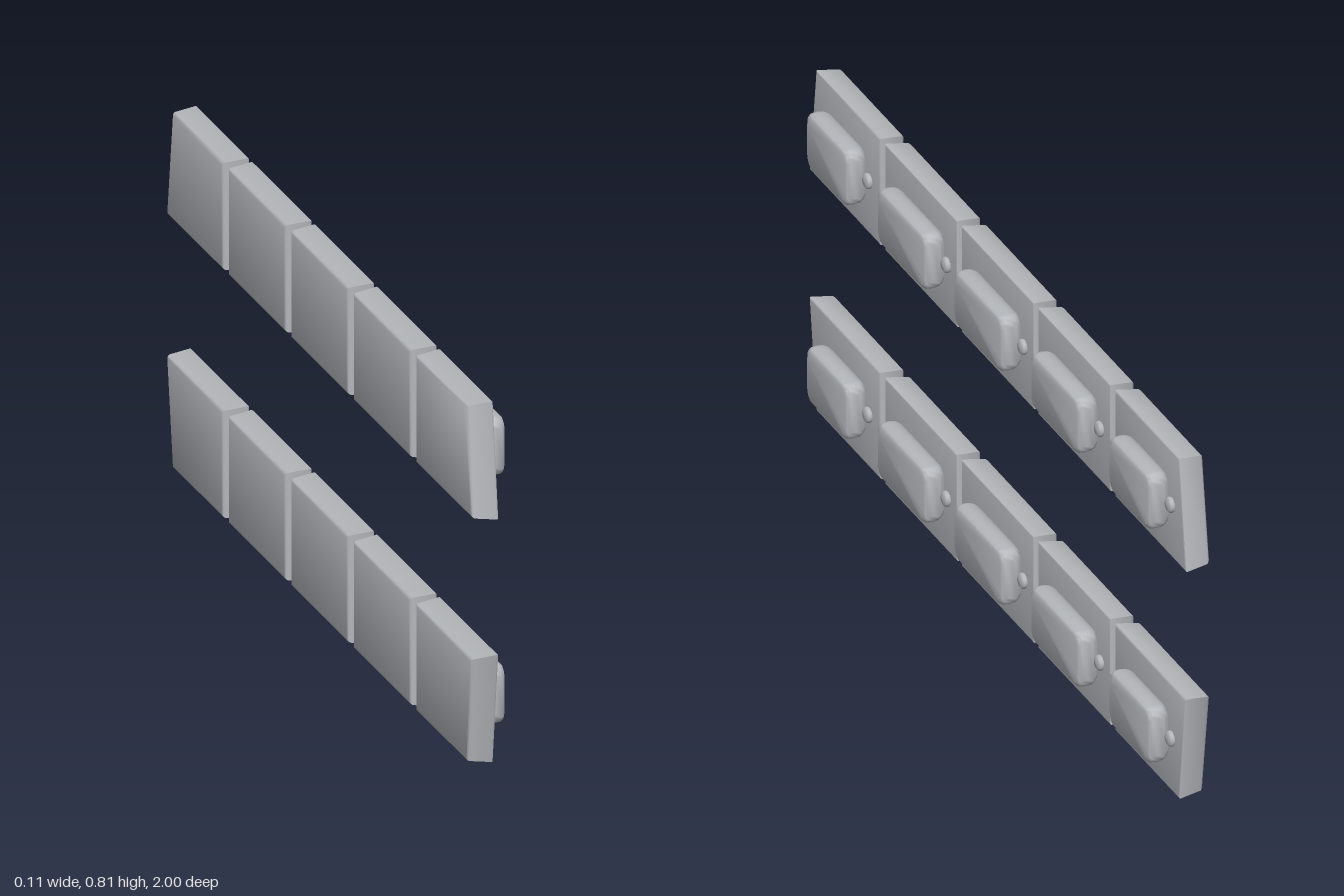
import * as THREE from 'three';
import { toCreasedNormals } from 'three/addons/utils/BufferGeometryUtils.js';

// Lofts a [z, y] outline (centred on 0) along x; each level is [x, inset].
function slab(outline, levels) {
  const n = outline.length, pos = [], idx = [];
  for (const [x, inset] of levels)
    for (const [z, y] of outline)
      pos.push(x, y - Math.sign(y) * inset, z - Math.sign(z) * inset);
  for (let r = 0; r < levels.length - 1; r++)
    for (let i = 0; i < n; i++) {
      const a = r * n + i, b = r * n + (i + 1) % n;
      idx.push(a, a + n, b, b, a + n, b + n);
    }
  // end caps
  const last = (levels.length - 1) * n;
  for (let i = 1; i < n - 1; i++) {
    idx.push(0, i, i + 1);
    idx.push(last, last + i + 1, last + i);
  }
  const g = new THREE.BufferGeometry();
  g.setAttribute('position', new THREE.Float32BufferAttribute(pos, 3));
  g.setIndex(idx);
  return toCreasedNormals(g, 0.95);
}

// Rounded rectangle outline, counter-clockwise in (z, y)
function roundedRect(w, h, r, steps = 5) {
  const pts = [];
  [[1, 1], [-1, 1], [-1, -1], [1, -1]].forEach(([sz, sy], c) => {
    for (let i = 0; i <= steps; i++) {
      const a = (c + i / steps) * Math.PI / 2;
      pts.push([sz * (w - r) + r * Math.cos(a), sy * (h - r) + r * Math.sin(a)]);
    }
  });
  return pts;
}

export function createModel() {
  const group = new THREE.Group();
  const grey = new THREE.MeshStandardMaterial({ color: 0xb4b7bb });
  grey.name = 'grey';

  const H = 0.1265; // half height of a panel
  const panelLevels = [[-0.053, 0.013], [-0.051, 0.009], [-0.047, 0.006], [0.002, 0], [0.0045, 0.001], [0.0055, 0.004]];
  const padLevels = [[0.003, 0.009], [0.010, 0.004], [0.018, 0.001], [0.03, 0], [0.044, 0.001], [0.049, 0.004], [0.052, 0.010]];

  // Low domed stud
  const studGeo = new THREE.LatheGeometry(
    [[0.016, 0], [0.018, 0.005], [0.017, 0.009], [0.012, 0.013], [0, 0.014]].map(p => new THREE.Vector2(...p)), 20);
  studGeo.rotateZ(-Math.PI / 2);

  const add = (parent, name, geo, x, y, z) => {
    const m = new THREE.Mesh(geo, grey);
    m.name = name;
    m.position.set(x, y, z);
    parent.add(m);
  };

  // Two rows; the slanted outer ends mirror each other vertically
  for (const [row, y, topCut, bottomCut] of [['upper', 0.6835, 0.036, 0], ['lower', H, 0, 0.036]]) {
    const rowGroup = new THREE.Group();
    rowGroup.name = row + 'Row';
    group.add(rowGroup);
    for (let i = -2; i <= 2; i++) {
      const end = Math.abs(i) === 2, s = Math.sign(i);
      const zc = end ? s * 0.811 : i * 0.407;
      const half = end ? 0.189 : 0.192;
      const cut = (side, c) => side * (half - (end && side === s ? c : 0));
      const outline = [[cut(1, topCut), H], [cut(-1, topCut), H], [cut(-1, bottomCut), -H], [cut(1, bottomCut), -H]];
      add(rowGroup, 'panel', slab(outline, panelLevels), 0, y, zc);

      // Raised pad with a stud at each end
      const zp = end ? s * 0.803 : zc;
      const padHalf = end ? 0.11 : 0.13;
      add(rowGroup, 'pad', slab(roundedRect(padHalf, 0.066, 0.022), padLevels), 0, y, zp);
      for (const k of [-1, 1])
        add(rowGroup, 'stud', studGeo, 0.004, y, zp + k * (padHalf + 0.013));
    }
  }
  return group;
}
